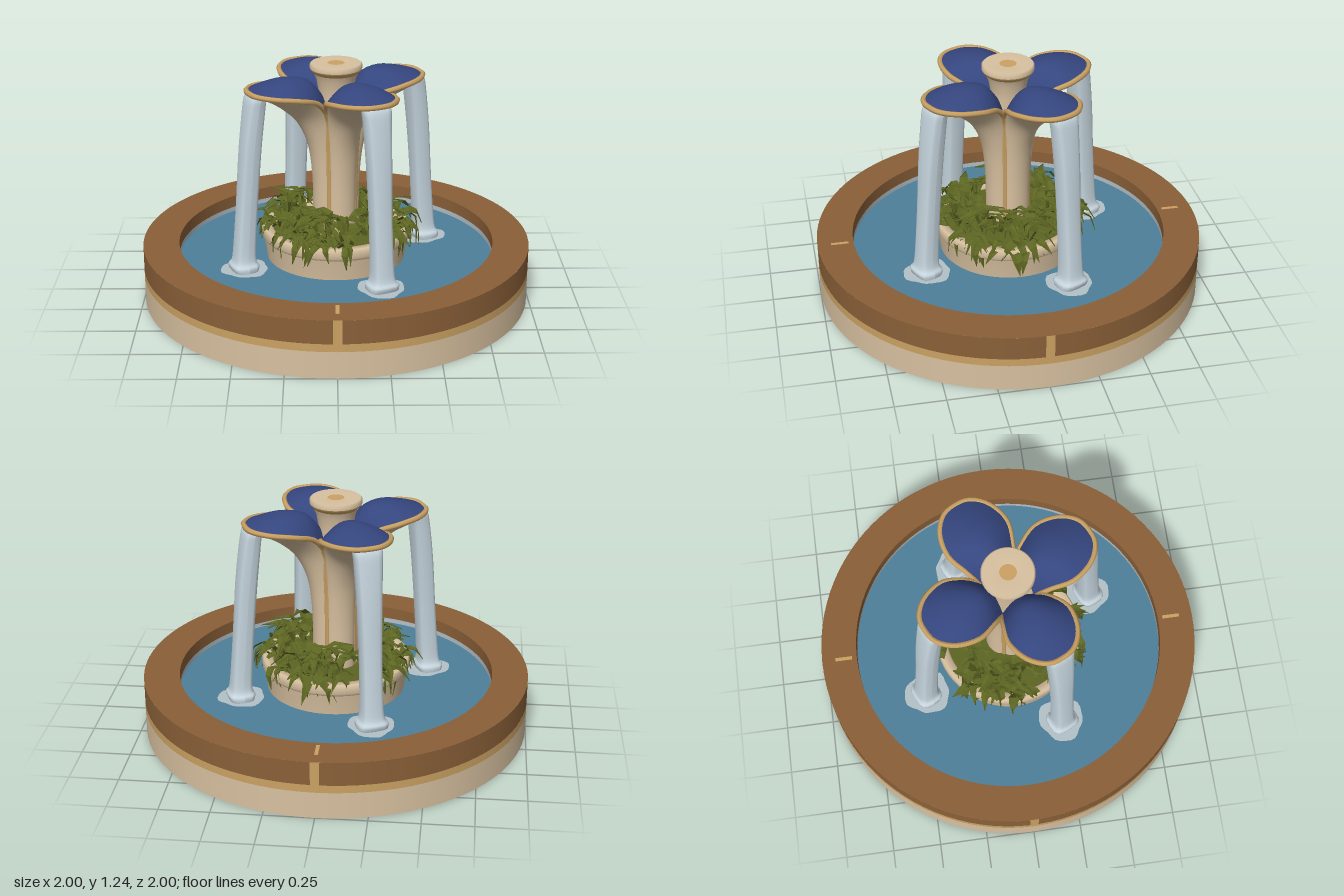
import * as THREE from 'three';

const mat = (name, color) => {
  const m = new THREE.MeshStandardMaterial({ color, side: THREE.DoubleSide });
  m.name = name;
  return m;
};

// surface through rows x cols points given by fn(row, col)
function gridSurface(rows, cols, fn) {
  const pos = [], idx = [];
  for (let i = 0; i < rows; i++) for (let j = 0; j < cols; j++) pos.push(...fn(i, j));
  for (let i = 0; i < rows - 1; i++) for (let j = 0; j < cols - 1; j++) {
    const a = i * cols + j, b = a + cols;
    idx.push(a, a + 1, b, b, a + 1, b + 1);
  }
  const g = new THREE.BufferGeometry();
  g.setAttribute('position', new THREE.Float32BufferAttribute(pos, 3));
  g.setIndex(idx);
  g.computeVertexNormals();
  return g;
}

// smooth interpolation between the rows of a small table
function sampleRows(table, t) {
  const f = t * (table.length - 1), i = Math.min(Math.floor(f), table.length - 2), k = f - i;
  const at = (n) => table[Math.max(0, Math.min(table.length - 1, n))];
  return table[0].map((_, c) => {
    const [a, b, d, e] = [at(i - 1)[c], at(i)[c], at(i + 1)[c], at(i + 2)[c]];
    return b + 0.5 * k * (d - a + k * (2 * a - 5 * b + 4 * d - e + k * (3 * (b - d) + e - a)));
  });
}

export function createModel() {
  const model = new THREE.Group();
  const brown = mat('brown stone', 0x8a6038), gold = mat('gold trim', 0xcba263);
  const cream = mat('cream stone', 0xd8c1a0), water = mat('pool water', 0x4f7f9a);
  const blue = mat('blue glaze', 0x35467f), stream = mat('falling water', 0xc6d5de);
  const foam = mat('foam', 0xb3c1c8), leafGreen = mat('leaf green', 0x5c6522);
  const dark = mat('dark underside', 0x1a1a1a);
  const add = (parent, name, geo, m) => {
    const mesh = new THREE.Mesh(geo, m);
    mesh.name = name;
    parent.add(mesh);
    return mesh;
  };
  const lathe = (pts, seg = 64) => new THREE.LatheGeometry(pts.map((p) => new THREE.Vector2(...p)), seg);
  const wall = (r, y0, y1, start = 0, len = Math.PI * 2, seg = 96) =>
    new THREE.CylinderGeometry(r, r, y1 - y0, seg, 1, true, start, len).translate(0, (y0 + y1) / 2, 0);
  const disc = (r, y, seg = 64) => new THREE.CircleGeometry(r, seg).rotateX(-Math.PI / 2).translate(0, y, 0);

  // Basin: open shell with banded outer wall, flat rim and inner wall
  const basin = new THREE.Group();
  basin.name = 'basin';
  model.add(basin);
  add(basin, 'lowerWall', wall(1, 0, 0.138), cream);
  add(basin, 'wallBand', wall(1, 0.138, 0.178), gold);
  const seam = 0.022;
  for (let k = 0; k < 4; k++) {
    const a = k * Math.PI / 2;
    add(basin, 'upperWall', wall(1, 0.178, 0.3, a + seam, Math.PI / 2 - 2 * seam, 24), brown);
    add(basin, 'wallSeam', wall(1, 0.178, 0.3, a - seam, 2 * seam, 2), gold);
  }
  add(basin, 'rim', new THREE.RingGeometry(0.815, 1, 96).rotateX(-Math.PI / 2).translate(0, 0.3, 0), brown);
  for (const s of [-1, 1]) {
    const mark = add(basin, 'rimSeam', new THREE.BoxGeometry(0.018, 0.004, 0.09), gold);
    mark.position.set(0, 0.3, s * 0.885);
  }
  add(basin, 'innerWall', wall(0.815, 0.235, 0.3), brown);
  add(basin, 'waterLine', wall(0.815, 0.13, 0.235), foam);
  add(basin, 'pool', disc(0.815, 0.21, 96), water);
  add(basin, 'drain', disc(0.18, 0.2, 24), dark);

  // Planter bowl
  add(model, 'planter', lathe([[0.355, 0.17], [0.362, 0.24], [0.375, 0.32]]), cream);
  add(model, 'planterRim', lathe([[0.375, 0.32], [0.385, 0.335], [0.385, 0.37], [0.375, 0.38],
    [0.335, 0.38], [0.325, 0.345]]), cream);
  add(model, 'plantBed', disc(0.335, 0.345), leafGreen);

  // Central column and cap
  add(model, 'core', lathe([[0.085, 0.25], [0.08, 0.8], [0.085, 1.08], [0.1, 1.16], [0.115, 1.195]], 32), cream);
  add(model, 'capBand', lathe([[0.112, 1.19], [0.128, 1.205], [0.132, 1.215]], 40), gold);
  add(model, 'cap', lathe([[0.132, 1.215], [0.132, 1.235], [0.124, 1.242], [0.06, 1.238], [0, 1.236]], 40), cream);
  add(model, 'capCentre', disc(0.042, 1.241, 24), gold);

  // Petal underside rows: centre reach, centre y, edge reach, edge half width, edge y
  const underRows = [
    [0.12, 0.25, 0.07, 0.072, 0.25], [0.12, 0.45, 0.07, 0.072, 0.45], [0.125, 0.65, 0.07, 0.074, 0.65],
    [0.15, 0.82, 0.075, 0.082, 0.84], [0.21, 0.95, 0.09, 0.097, 0.99], [0.29, 1.03, 0.16, 0.132, 1.08],
    [0.37, 1.085, 0.27, 0.17, 1.12], [0.43, 1.115, 0.39, 0.14, 1.135], [0.47, 1.135, 0.46, 0.07, 1.14]];
  // Petal top rows: reach, half width, crown y, edge y
  const topRows = [[0.09, 0.097, 1.1, 1.0], [0.16, 0.132, 1.175, 1.085], [0.27, 0.17, 1.195, 1.125],
    [0.39, 0.14, 1.172, 1.14], [0.468, 0.07, 1.145, 1.142]];
  const R = 33, C = 17;
  const underGeo = gridSurface(R, C, (i, j) => {
    const [ca, cy, ea, ew, ey] = sampleRows(underRows, i / (R - 1)), u = (j / (C - 1) * 2 - 1) * Math.PI / 2;
    const c = Math.cos(u);
    return [ew * Math.sin(u), ey + (cy - ey) * c, ea + (ca - ea) * c];
  });
  const topGeo = gridSurface(17, C, (i, j) => {
    const [a, w, yc, ye] = sampleRows(topRows, i / 16), u = j / (C - 1) * 2 - 1;
    return [w * u, ye + (yc - ye) * (1 - u * u), a];
  });
  const edge = (s) => underRows.map(([, , a, w, y]) => new THREE.Vector3(s * w, y, a));
  const trimCurve = new THREE.CatmullRomCurve3([...edge(-1), new THREE.Vector3(0, 1.14, 0.472), ...edge(1).reverse()]);
  const trimGeo = new THREE.TubeGeometry(trimCurve, 100, 0.014, 6);

  // Falling water rows: reach, y, half width, half depth
  const fallRows = [[0.435, 1.148, 0.05, 0.012], [0.44, 1.125, 0.072, 0.04], [0.452, 1.05, 0.068, 0.047],
    [0.475, 0.85, 0.06, 0.05], [0.495, 0.6, 0.054, 0.05], [0.512, 0.38, 0.054, 0.052],
    [0.52, 0.27, 0.06, 0.056], [0.522, 0.235, 0.08, 0.07], [0.522, 0.17, 0.068, 0.04]];
  const fallGeo = gridSurface(33, 17, (i, j) => {
    const [a, y, w, d] = sampleRows(fallRows, i / 32), t = j / 16 * Math.PI * 2;
    const sq = (v) => Math.sign(v) * Math.abs(v) ** 0.6;
    return [w * sq(Math.cos(t)), y, a + d * sq(Math.sin(t))];
  });
  const foamShape = new THREE.Shape();
  for (let k = 0; k < 28; k++) {
    const t = k / 28 * Math.PI * 2, r = 0.115 + 0.008 * Math.sin(3 * t + 1) + 0.004 * Math.sin(7 * t);
    foamShape[k ? 'lineTo' : 'moveTo'](r * Math.cos(t), r * Math.sin(t) * 1.04);
  }
  const foamGeo = new THREE.ShapeGeometry(foamShape).rotateX(-Math.PI / 2);

  // Curved, folded leaf blade along +z
  const leafGeo = gridSurface(4, 3, (i, j) => {
    const t = i / 3, w = [0.012, 0.03, 0.024, 0.001][i];
    return [(j - 1) * w, 0.25 * t * (1 - t) - 0.05 * t * t + (j === 1 ? -0.01 : 0), 0.15 * t];
  }).toNonIndexed();
  leafGeo.computeVertexNormals();
  let seed = 7;
  const rand = (a, b) => {
    seed = (seed * 16807) % 2147483647;
    return a + (b - a) * seed / 2147483647;
  };

  for (let k = 0; k < 4; k++) {
    const turn = 0.445 + k * Math.PI / 2;
    const petal = new THREE.Group();
    petal.name = 'petal';
    petal.rotation.y = turn;
    model.add(petal);
    add(petal, 'petalStem', underGeo, cream);
    add(petal, 'petalTop', topGeo, blue);
    add(petal, 'petalTrim', trimGeo, gold);
    add(petal, 'waterfall', fallGeo, stream);
    add(petal, 'splash', foamGeo, foam).position.set(0, 0.216, 0.515);
    add(petal, 'splashUnderside', foamGeo, foam).position.set(0, 0.204, 0.515);

    // Leaf cluster in the gap beside each petal
    const cluster = new THREE.Group();
    cluster.name = 'leafCluster';
    cluster.rotation.y = turn + Math.PI / 4;
    model.add(cluster);
    for (let n = 0; n < 64; n++) {
      const outer = n % 2, a = rand(-0.6, 0.6), r = outer ? rand(0.27, 0.35) : rand(0.17, 0.3);
      const leaf = add(cluster, 'leaf', leafGeo, leafGreen);
      leaf.position.set(Math.sin(a) * r, outer ? rand(0.36, 0.41) : rand(0.36, 0.45), Math.cos(a) * r);
      leaf.rotation.order = 'YXZ';
      leaf.rotation.set(outer ? rand(-0.3, 0.75) : rand(-1.1, -0.2),
        a + (outer ? rand(-1.1, 1.1) : rand(-2.4, 2.4)), rand(-0.4, 0.4));
      leaf.scale.setScalar(outer ? rand(0.6, 0.85) : rand(0.75, 1.05));
    }
  }
  return model;
}
